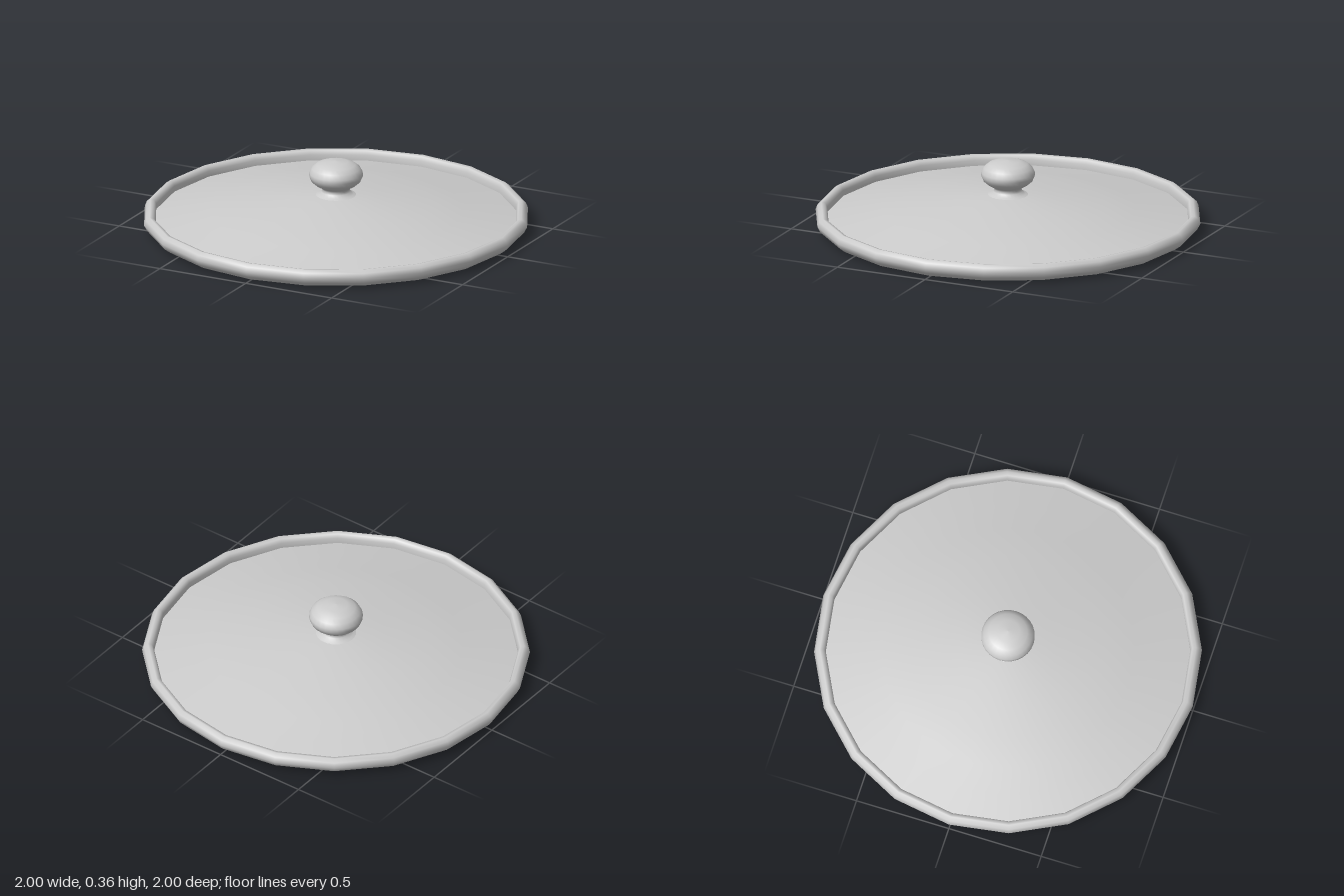
import * as THREE from 'three';

const material = new THREE.MeshStandardMaterial({ color: 0xcccccc, side: THREE.DoubleSide });

// Turned part from [radius, height] pairs; profiles run from the underside outward and up
function turned(name, profile, sides) {
  const points = profile.map(([r, y]) => new THREE.Vector2(r, y));
  const mesh = new THREE.Mesh(new THREE.LatheGeometry(points, sides), material);
  mesh.name = name;
  return mesh;
}

export function createModel() {
  const lid = new THREE.Group();
  lid.name = 'lid';

  // Hollow underside running smoothly into the rounded rim
  lid.add(turned('undersideAndRim', [
    [0, 0.15], [0.25, 0.135], [0.5, 0.1], [0.7, 0.06], [0.85, 0.025], [0.9, 0.005],
    [0.93, 0], [0.955, 0.008], [0.985, 0.03], [1, 0.06], [0.99, 0.085],
    [0.97, 0.1], [0.95, 0.095], [0.94, 0.075], [0.94, 0.045],
  ], 20));

  // Shallow domed top, meeting the rim at a sharp groove
  lid.add(turned('domedTop', [
    [0.94, 0.045], [0.8, 0.072], [0.657, 0.1], [0.5, 0.132], [0.257, 0.164], [0.1, 0.181], [0, 0.185],
  ], 20));

  // Knob with a flared neck
  lid.add(turned('knob', [
    [0.115, 0.177], [0.09, 0.185], [0.075, 0.198], [0.07, 0.21], [0.078, 0.222], [0.105, 0.237],
    [0.128, 0.257], [0.138, 0.28], [0.138, 0.3], [0.125, 0.325], [0.1, 0.345],
    [0.06, 0.359], [0, 0.364],
  ], 28));

  return lid;
}
